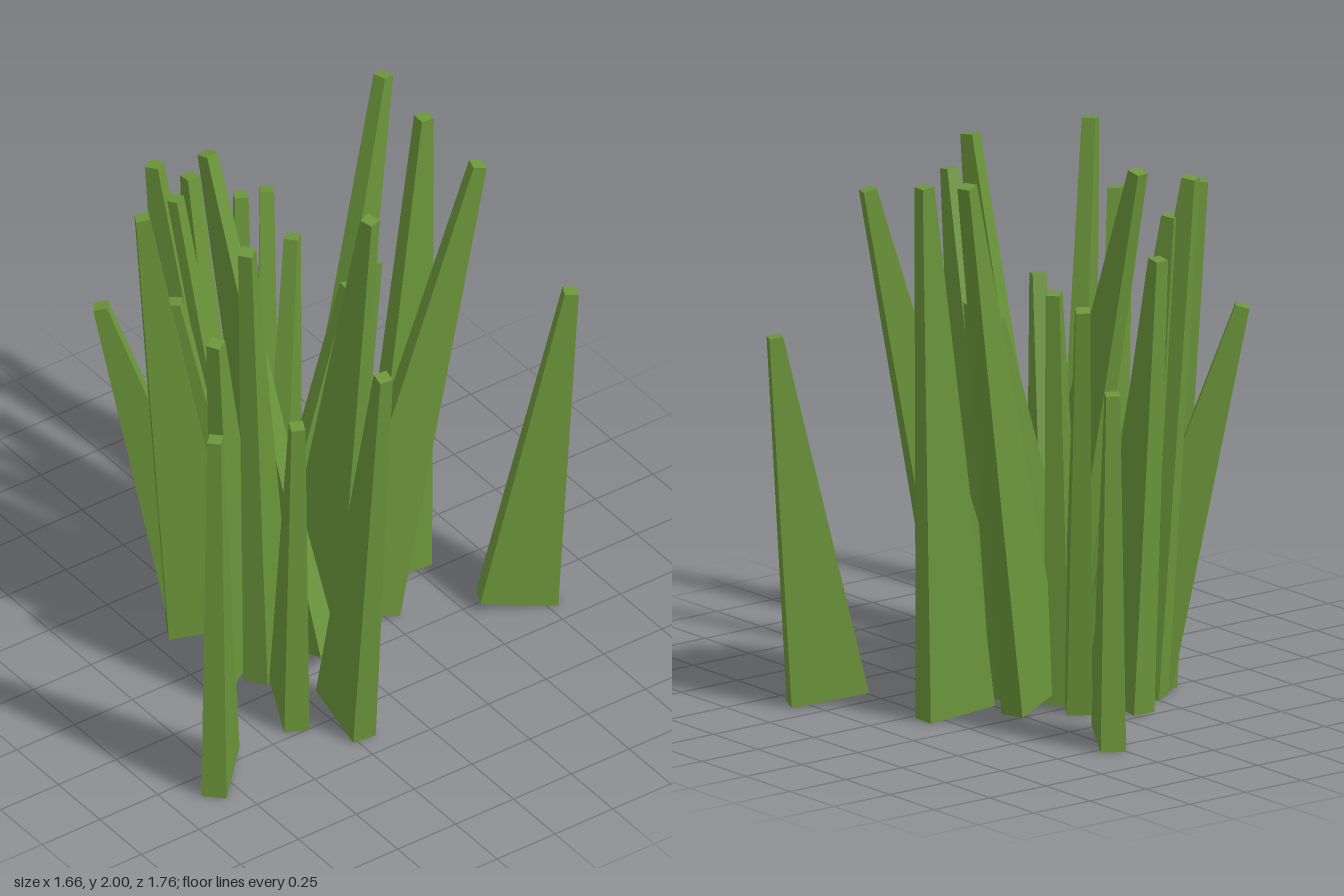
import * as THREE from 'three';

// Each blade: tip x, y, z, then the centre of its base x, z
const BLADES = [
  // outer blades
  [0.41, 1.35, -0.85, 0.325, -0.68],
  [-0.775, 1.3, -0.275, -0.685, -0.22],
  [0.80, 1.69, 0.24, 0.525, 0.205],
  [0.49, 1.35, 0.39, 0.36, 0.33],
  [0.61, 1.56, 0.83, 0.53, 0.75],
  [-0.07, 1.95, -0.56, -0.075, -0.425],
  // blades leaning to the back
  [0.20, 1.89, -0.6, 0.07, -0.18],
  [-0.30, 2.0, -0.55, -0.17, -0.15],
  [-0.50, 1.53, -0.19, -0.24, -0.01],
  [-0.235, 1.52, -0.11, -0.12, 0.03],
  [-0.01, 1.47, -0.295, -0.03, -0.05],
  [-0.015, 1.4, -0.2, -0.05, 0.05],
  // blades leaning to the sides
  [0.33, 1.97, -0.04, 0.09, 0.04],
  [-0.56, 1.68, 0.1, -0.34, 0.105],
  [-0.35, 1.94, 0.175, 0.12, 0.1],
  // blades leaning to the front
  [-0.44, 1.91, 0.34, -0.23, 0.22],
  [-0.39, 1.77, 0.29, -0.2, 0.2],
  [-0.32, 1.38, 0.34, -0.17, 0.2],
  [-0.43, 1.4, 0.58, -0.19, 0.28],
  [-0.29, 1.84, 0.5, -0.18, 0.3],
  [0.125, 1.53, 0.48, 0.03, 0.3],
  [0.23, 1.97, 0.42, 0.09, 0.23],
];
const WIDTH = 0.28, THICKNESS = 0.09, TIP = 0.05;

// Box narrowing from a flat base to a small square tip
function bladeGeometry(length) {
  const geometry = new THREE.BoxGeometry(WIDTH, length, THICKNESS);
  geometry.translate(0, length / 2, 0);
  const p = geometry.attributes.position;
  for (let i = 0; i < p.count; i++) {
    if (p.getY(i) > length / 2) {
      p.setX(i, Math.sign(p.getX(i)) * TIP / 2);
      p.setZ(i, Math.sign(p.getZ(i)) * TIP / 2);
    }
  }
  geometry.computeVertexNormals();
  return geometry;
}

export function createModel() {
  const group = new THREE.Group();
  group.name = 'grassTuft';
  const green = new THREE.MeshStandardMaterial({ color: 0x6b963a });
  green.name = 'grassGreen';

  BLADES.forEach(([tx, ty, tz, bx, bz], i) => {
    // the base tilts with the blade, its outer edge resting on the ground
    const lean = Math.hypot(tx - bx, tz - bz) / ty;
    const base = new THREE.Vector3(bx, lean * WIDTH / 2, bz);
    const up = new THREE.Vector3(tx, ty - 0.003, tz).sub(base);
    const length = up.length();
    up.normalize();
    // the broad side lies in the plane of the lean
    const side = new THREE.Vector3(tx - bx, 0, tz - bz).cross(up).normalize();
    const out = new THREE.Vector3().crossVectors(up, side);

    const blade = new THREE.Mesh(bladeGeometry(length), green);
    blade.name = `blade${i + 1}`;
    blade.quaternion.setFromRotationMatrix(new THREE.Matrix4().makeBasis(out, up, side));
    blade.position.copy(base);
    group.add(blade);
  });
  return group;
}
